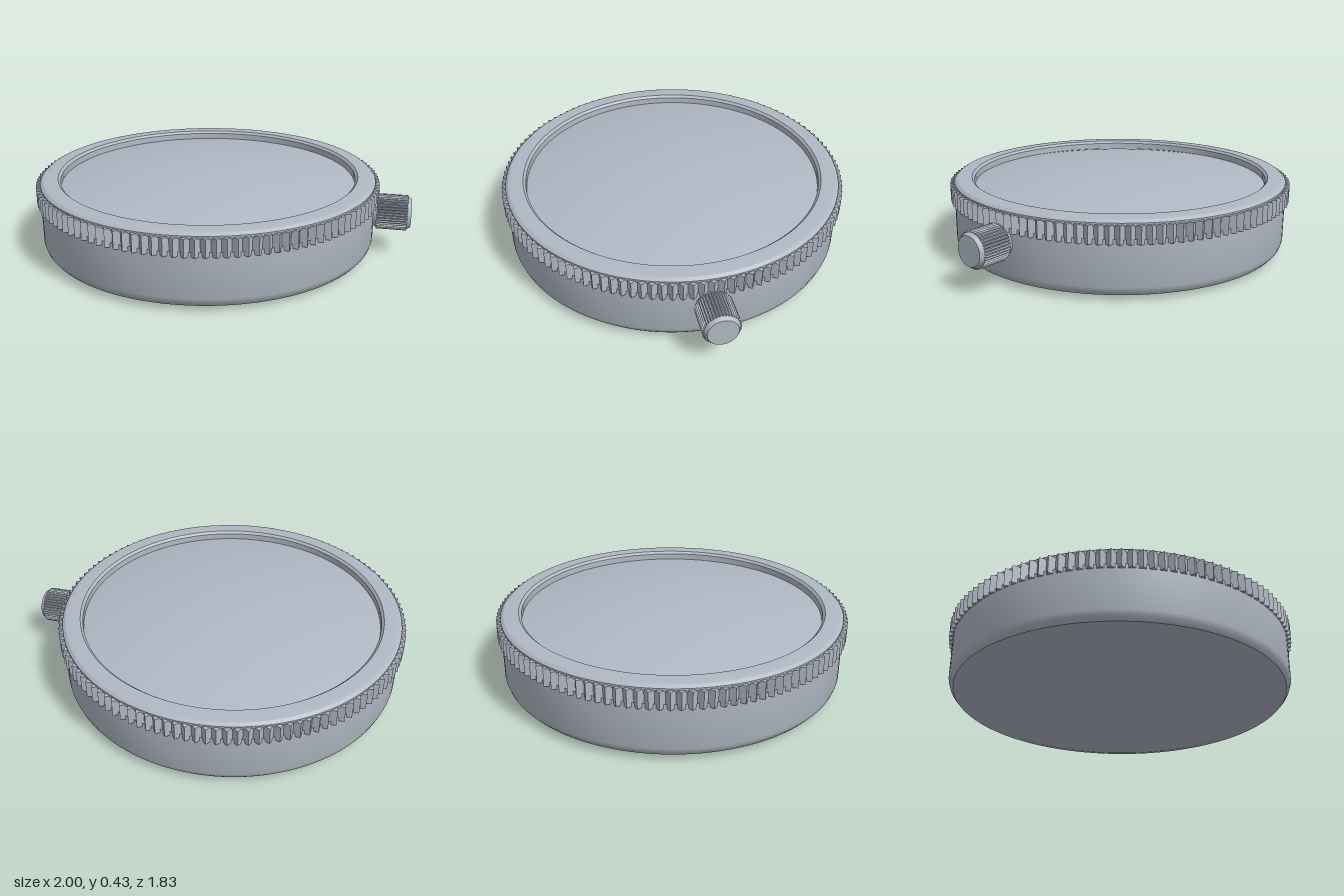
import * as THREE from 'three';
import { toCreasedNormals } from 'three/addons/utils/BufferGeometryUtils.js';

const CENTRE_X = -0.085;

// Surface of revolution with sharp edges kept sharp; profile runs bottom to top outside
function turned(points, segments = 128) {
  const profile = points.map(([r, y]) => new THREE.Vector2(r, y));
  return toCreasedNormals(new THREE.LatheGeometry(profile, segments), 0.45);
}

// Ring of triangular teeth, extruded along y from 0 to height
function knurl(teeth, inner, outer, height, hole) {
  const shape = new THREE.Shape();
  for (let i = 0; i < teeth * 2; i++) {
    const a = (i / (teeth * 2)) * Math.PI * 2;
    const r = i % 2 ? inner : outer;
    if (i === 0) shape.moveTo(r, 0);
    else shape.lineTo(r * Math.cos(a), r * Math.sin(a));
  }
  shape.closePath();
  if (hole) shape.holes.push(new THREE.Path().absarc(0, 0, hole, 0, Math.PI * 2, true));
  const geometry = new THREE.ExtrudeGeometry(shape, { depth: height, bevelEnabled: false, curveSegments: 64 });
  return geometry.rotateX(-Math.PI / 2);
}

export function createModel() {
  const model = new THREE.Group();
  model.name = 'roundCasedInstrument';
  const steel = new THREE.MeshStandardMaterial({ color: 0xb0b8c4 });
  steel.name = 'brushed steel';

  function add(parent, name, geometry, y = 0) {
    const mesh = new THREE.Mesh(geometry, steel);
    mesh.name = name;
    mesh.position.y = y;
    parent.add(mesh);
    return mesh;
  }

  const body = new THREE.Group();
  body.name = 'body';
  body.position.x = CENTRE_X;
  model.add(body);

  // Case with a softened lower edge and nearly flat underside
  add(body, 'case', turned([
    [0, 0], [0.79, 0.004], [0.87, 0.025], [0.887, 0.045], [0.895, 0.07], [0.895, 0.3],
  ]));

  // Knurled rotating bezel with its bevelled top rim and recessed inner wall
  add(body, 'bezelKnurl', knurl(120, 0.887, 0.915, 0.09, 0.81), 0.278);
  add(body, 'bezelRim', turned([
    [0.893, 0.36], [0.893, 0.376], [0.878, 0.388], [0.86, 0.391], [0.8, 0.391], [0.787, 0.378], [0.785, 0.33],
  ]));

  // Shallow domed crystal
  const dome = [];
  for (let i = 0; i <= 12; i++) {
    const r = 0.79 * (1 - i / 12);
    dome.push([r, 0.425 - (r * r) / 7.7]);
  }
  add(body, 'crystal', turned(dome));

  // Crown on the side: stem, knurled grip and chamfered ends
  const crown = new THREE.Group();
  crown.name = 'crown';
  crown.position.set(0.78, 0.223, 0);
  crown.rotation.z = -Math.PI / 2;
  model.add(crown);
  add(crown, 'crownCore', turned([
    [0, 0], [0.08, 0], [0.08, 0.035], [0.086, 0.05], [0.086, 0.2], [0.075, 0.22], [0, 0.22],
  ], 48));
  add(crown, 'crownKnurl', knurl(40, 0.082, 0.093, 0.155), 0.045);

  return model;
}
